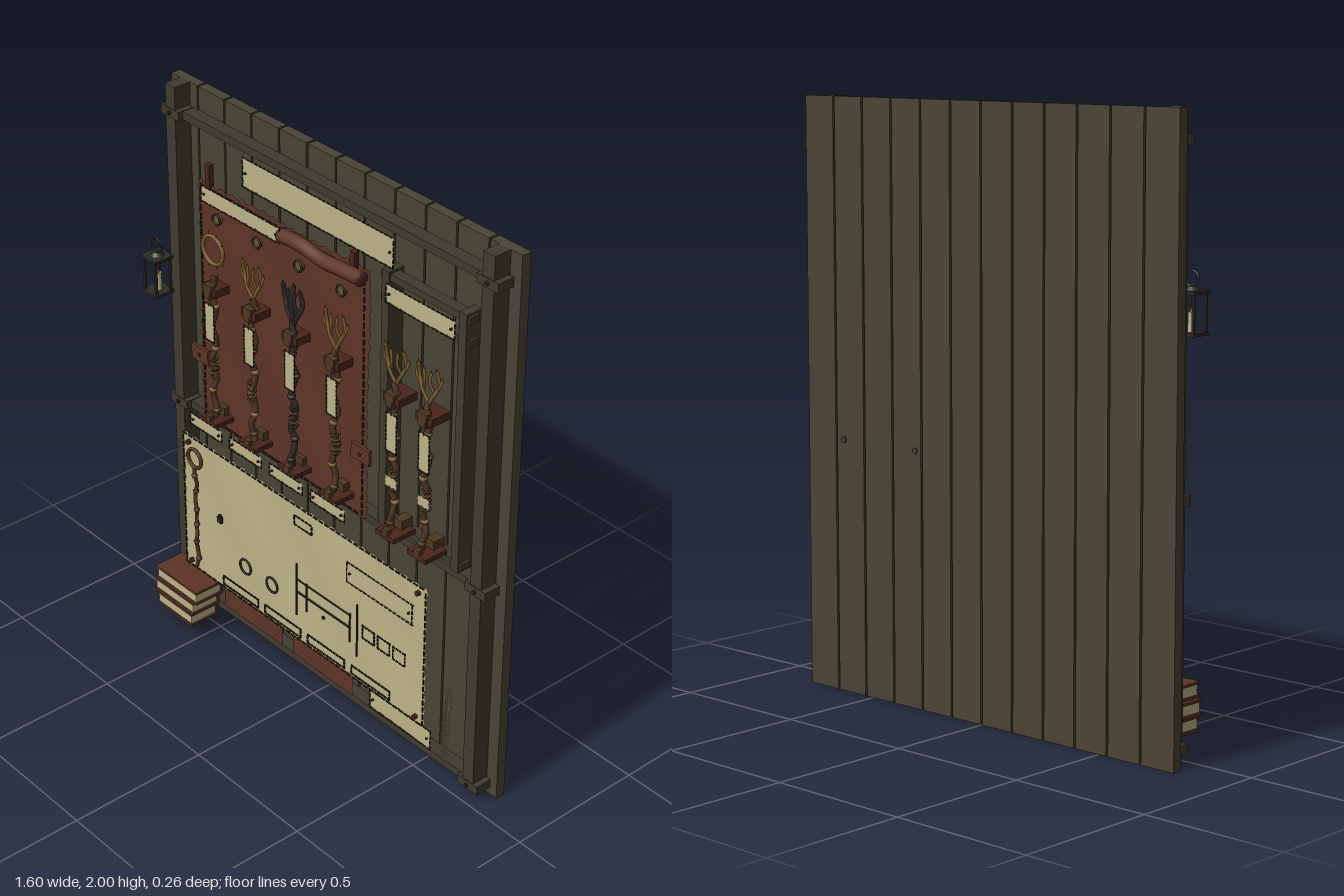
import * as THREE from 'three';
import { mergeGeometries } from 'three/addons/utils/BufferGeometryUtils.js';

const mat = (name, color, side = THREE.FrontSide) => {
  const m = new THREE.MeshStandardMaterial({ color, side });
  m.name = name;
  return m;
};

export function createModel() {
  const root = new THREE.Group();
  root.name = 'wandDisplayBoard';
  const wood = mat('agedWood', 0x4a4435);
  const beamWood = mat('beamWood', 0x403b2f);
  const leather = mat('leather', 0x5e3427, THREE.DoubleSide);
  const darkLeather = mat('darkLeather', 0x4a251c);
  const paper = mat('parchment', 0xbdb388, THREE.DoubleSide);
  const ink = mat('ink', 0x2b251c);
  const tan = mat('goldenTwig', 0x80602f);
  const bark = mat('bark', 0x4e3723);
  const ebony = mat('ebony', 0x2f2b27);
  const brass = mat('brass', 0x6b5333);

  const add = (name, geo, m, parent = root) => {
    const mesh = new THREE.Mesh(geo, m);
    mesh.name = name;
    parent.add(mesh);
    return mesh;
  };
  // Box given by its limits
  const boxGeo = (x0, x1, y0, y1, z0, z1) =>
    new THREE.BoxGeometry(x1 - x0, y1 - y0, z1 - z0).translate((x0 + x1) / 2, (y0 + y1) / 2, (z0 + z1) / 2);
  const box = (name, m, ...b) => add(name, boxGeo(...b), m);
  const zCyl = (r, d, x, y, z, n = 12) => new THREE.CylinderGeometry(r, r, d, n).rotateX(Math.PI / 2).translate(x, y, z);
  const tube = (pts, r, seg = 24, n = 7) =>
    new THREE.TubeGeometry(new THREE.CatmullRomCurve3(pts.map(p => new THREE.Vector3(...p))), seg, r, n);
  const torus = (R, r, x, y, z) => new THREE.TorusGeometry(R, r, 6, 24).translate(x, y, z);

  // Thin sheet with ragged edges and soft ripples
  const sheet = (name, m, x0, x1, y0, y1, z, wave = 0.002, rag = 0.003) => {
    const nx = Math.max(8, Math.round((x1 - x0) * 60)), ny = Math.max(6, Math.round((y1 - y0) * 60));
    const g = new THREE.PlaneGeometry(x1 - x0, y1 - y0, nx, ny).translate((x0 + x1) / 2, (y0 + y1) / 2, z);
    const p = g.attributes.position;
    for (let i = 0; i < p.count; i++) {
      const x = p.getX(i), y = p.getY(i), c = i % (nx + 1), r = Math.floor(i / (nx + 1));
      if (c === 0 || c === nx) p.setX(i, x + rag * Math.sin(r * 2.3 + x * 9));
      if (r === 0 || r === ny) p.setY(i, y + rag * Math.sin(c * 2.1 + y * 7));
      p.setZ(i, z + wave * Math.sin(x * 13 + y * 3) * Math.cos(y * 6));
    }
    g.computeVertexNormals();
    return add(name, g, m);
  };
  // Row of short stitches round a rectangle
  const stitches = (name, m, x0, x1, y0, y1, z, step = 0.022, t = 0.004) => {
    const gs = [], d = step * 0.34;
    for (let x = x0 + d; x < x1; x += step)
      for (const y of [y0, y1]) gs.push(boxGeo(x - d, x + d, y - t / 2, y + t / 2, z - 0.002, z + 0.002));
    for (let y = y0 + d; y < y1; y += step)
      for (const x of [x0, x1]) gs.push(boxGeo(x - t / 2, x + t / 2, y - d, y + d, z - 0.002, z + 0.002));
    add(name, mergeGeometries(gs), m);
  };
  const label = (name, x0, x1, y0, y1, z, edge = true) => {
    sheet(name, paper, x0, x1, y0, y1, z);
    if (edge) stitches(name + 'Edge', ink, x0, x1, y0, y1, z + 0.002, 0.02, 0.003);
    for (const x of [x0 + 0.015, x1 - 0.015])
      add(name + 'Pin', zCyl(0.004, 0.008, x, (y0 + y1) / 2, z + 0.003, 8), ink);
  };

  // Plank backing
  const pitch = 1.6 / 12;
  for (let i = 0; i < 12; i++) {
    const x = -0.8 + i * pitch;
    box('plank', wood, x + (i ? 0.004 : 0), x + pitch - (i < 11 ? 0.004 : 0), 0, 2, -0.125, -0.09);
  }
  // Posts, rails and their bolted joints
  for (const s of [-1, 1]) box('post', beamWood, s * 0.73 - 0.024, s * 0.73 + 0.024, 0.035, 2, -0.09, -0.027);
  for (const y of [1.905, 0.82, 0.05]) {
    box('rail', beamWood, -0.77, 0.77, y - 0.014, y + 0.014, -0.088, -0.042);
    for (const s of [-1, 1]) {
      box('railJoint', beamWood, s * 0.73 - 0.045, s * 0.73 + 0.045, y - 0.016, y + 0.016, -0.085, -0.024);
      add('railBolt', zCyl(0.007, 0.008, s * 0.73, y, -0.021), ink);
    }
  }

  // Leather hanging with its stitched border, rolled top and straps
  sheet('leatherHanging', leather, -0.585, 0.23, 0.825, 1.73, -0.024, 0.007, 0.006);
  stitches('hangingStitches', ink, -0.572, 0.217, 0.84, 1.715, -0.016, 0.03, 0.006);
  add('leatherRoll', tube([[-0.15, 1.708, 0], [-0.06, 1.712, 0], [0.05, 1.7, 0], [0.14, 1.706, 0], [0.22, 1.71, 0]], 0.024, 24, 12), leather);
  for (const x of [-0.15, 0.22]) add('rollEnd', new THREE.SphereGeometry(0.025, 12, 8).scale(0.4, 1, 1).translate(x, 1.709, 0), darkLeather);
  for (const [x, y] of [[-0.53, 1.8], [0.165, 1.775]]) box('hangingStrap', darkLeather, x - 0.011, x + 0.011, 1.69, y, -0.03, -0.012);
  for (const [x0, x1] of [[-0.62, -0.535], [0.18, 0.265]]) {
    box('sideTab', leather, x0, x1, 1.055, 1.11, -0.012, 0);
    add('tabStud', zCyl(0.006, 0.006, (x0 + x1) / 2, 1.082, 0.002, 8), darkLeather);
  }
  label('titleSheet', -0.36, 0.34, 1.787, 1.89, -0.02);
  label('hangingLabel', -0.53, -0.145, 1.683, 1.738, 0.012);

  // Small rack on the right
  for (const x of [0.295, 0.63]) {
    box('rackPost', beamWood, x - 0.016, x + 0.016, 0.84, 1.76, -0.09, -0.03);
    add('rackPeg', zCyl(0.011, 0.1, x, 0.862, -0.08, 8), beamWood);
  }
  for (const y of [0.862, 1.74, 1.66]) box('rackRail', beamWood, 0.27, 0.655, y - 0.012, y + 0.012, -0.075, -0.036);
  label('rackLabel', 0.315, 0.615, 1.668, 1.732, -0.015);

  // Wands with brackets, cradles and tags
  const twig = (parent, m, pts, r = 0.006) => {
    add('twig', tube(pts, r, 10, 6), m, parent);
    add('twigTip', new THREE.ConeGeometry(r, 0.02, 6).translate(...pts[pts.length - 1]), m, parent);
  };
  const wand = (x, kind, seed) => {
    const g = new THREE.Group();
    g.name = 'wand';
    g.position.set(x, 0, 0.015);
    root.add(g);
    const m = kind === 'claw' ? ebony : bark, tipMat = kind === 'claw' ? ebony : tan;
    const pts = [];
    for (let i = 0; i <= 14; i++)
      pts.push([0.007 * Math.sin(i * 1.9 + seed) - 0.008 * (1 - i / 14), 0.88 + i * 0.04, 0.005 * Math.cos(i * 2.1 + seed)]);
    add('shaft', tube(pts, 0.0105, 56, 8), m, g);
    // knots and wrapped bands
    for (let i = 1; i < 14; i += 2)
      add('knot', new THREE.SphereGeometry(0.015, 8, 6).scale(1, 0.8, 1).translate(...pts[i]), i % 4 === 1 ? m : tipMat, g);
    for (let i = 0; i < 5; i++)
      add('gripBand', new THREE.TorusGeometry(0.013, 0.004, 5, 12).rotateX(Math.PI / 2).translate(pts[5][0], 1.05 + i * 0.017, 0), i % 2 ? brass : m, g);
    if (kind === 'ring') {
      add('ringHead', torus(0.05, 0.007, 0, 1.525, 0), tipMat, g);
      for (let i = 0; i < 10; i++) {
        const a = i * Math.PI / 5;
        add('thorn', new THREE.ConeGeometry(0.004, 0.018, 5).rotateZ(a - Math.PI / 2)
          .translate(0.06 * Math.cos(a), 1.525 + 0.06 * Math.sin(a), 0), tipMat, g);
      }
    } else {
      const w = kind === 'claw' ? 0.008 : 0.006;
      for (const s of [-1, 1]) {
        twig(g, tipMat, [[0, 1.43, 0], [s * 0.025, 1.47, 0.005], [s * 0.042, 1.51, 0], [s * 0.04, 1.565, 0.01]], w);
        twig(g, tipMat, [[s * 0.024, 1.47, 0], [s * 0.012, 1.51, 0.01], [s * 0.016, 1.55, 0.01]], w * 0.85);
        if (kind === 'fork') twig(g, tipMat, [[s * 0.035, 1.49, 0], [s * 0.05, 1.51, 0.005], [s * 0.054, 1.535, 0]], 0.0045);
      }
      if (kind === 'claw') twig(g, tipMat, [[0, 1.44, 0], [0.005, 1.51, 0.015], [0.012, 1.575, 0.01]], w);
    }
    box('bracket', darkLeather, x - 0.036, x + 0.036, 1.368, 1.396, -0.04, 0.036);
    box('bracketClasp', bark, x - 0.019, x + 0.019, 1.358, 1.406, 0.02, 0.043);
    box('cradleBack', bark, x - 0.018, x + 0.018, 0.875, 0.925, -0.05, -0.004);
    box('cradleTray', darkLeather, x - 0.042, x + 0.042, 0.878, 0.895, -0.04, 0.052);
    box('cradleLip', bark, x - 0.012, x + 0.012, 0.89, 0.912, 0.035, 0.052);
    sheet('wandTag', paper, x + 0.003, x + 0.05, 1.215, 1.352, 0.056, 0.001, 0.002);
    stitches('tagEdge', ink, x + 0.003, x + 0.05, 1.215, 1.352, 0.057, 0.016, 0.003);
    add('tagCord', tube([[x + 0.025, 1.345, 0.057], [x + 0.018, 1.365, 0.05], [x + 0.012, 1.385, 0.04]], 0.002, 6, 5), brass);
  };
  ['ring', 'fork', 'claw', 'fork'].forEach((k, i) => {
    const x = -0.475 + i * 0.2;
    wand(x, k, i * 1.7);
    add('medallion', zCyl(0.018, 0.012, x, 1.628, -0.008, 16), brass);
    add('medallionRim', torus(0.018, 0.004, x, 1.628, -0.002), ink);
    label('nameLabel', x - 0.09 + i * 0.005, x + 0.075 + i * 0.005, 0.842, 0.886, 0.054);
  });
  [0.4, 0.545].forEach((x, i) => {
    wand(x, 'fork', 3 + i);
    sheet('smallTag', paper, x + 0.0, x + 0.052, 1.085, 1.122, 0.054, 0.001, 0.003);
  });

  // Large parchment chart
  sheet('chart', paper, -0.605, 0.605, 0.255, 0.795, 0.056, 0.005, 0.004);
  stitches('chartEdge', ink, -0.602, 0.602, 0.258, 0.792, 0.061, 0.028, 0.004);
  for (const x of [-0.57, 0.57]) for (const y of [0.28, 0.768]) add('chartPin', zCyl(0.009, 0.012, x, y, 0.065), darkLeather);
  const line = (x0, y0, x1, y1, t = 0.004) =>
    box('inkLine', ink, Math.min(x0, x1) - t / 2, Math.max(x0, x1) + t / 2, Math.min(y0, y1) - t / 2, Math.max(y0, y1) + t / 2, 0.062, 0.067);
  line(-0.01, 0.455, 0.255, 0.455, 0.005);
  line(-0.01, 0.505, 0.255, 0.505, 0.003);
  line(-0.01, 0.36, -0.01, 0.565);
  line(0.04, 0.4, 0.04, 0.51);
  line(0.255, 0.4, 0.255, 0.51);
  line(0.29, 0.36, 0.29, 0.565);
  add('inkDot', zCyl(0.006, 0.006, 0.125, 0.422, 0.065, 8), ink);
  for (const x of [0.345, 0.418, 0.491]) stitches('inkSquare', ink, x - 0.028, x + 0.028, 0.45, 0.498, 0.065, 0.014);
  stitches('inkBox', ink, -0.02, 0.066, 0.72, 0.755, 0.065, 0.018);
  label('chartNote', 0.242, 0.55, 0.635, 0.712, 0.066);
  for (let i = 0; i < 4; i++) stitches('inkCaption', ink, -0.395 + i * 0.22, -0.21 + i * 0.22, 0.275, 0.308, 0.065, 0.016, 0.005);
  for (const x of [-0.275, -0.137]) add('inkRing', torus(0.028, 0.004, x, 0.41, 0.065), ink);
  box('lockBody', ink, -0.416, -0.394, 0.525, 0.547, 0.062, 0.072);
  add('lockShackle', torus(0.008, 0.003, -0.405, 0.548, 0.066), ink);
  // Ring-headed staff on the chart
  const staff = [];
  for (let i = 0; i <= 12; i++) staff.push([-0.525 + 0.006 * Math.sin(i * 2), 0.285 + i * 0.034, 0.073 + 0.004 * Math.cos(i * 1.7)]);
  add('chartStaff', tube(staff, 0.007, 40), bark);
  for (let i = 1; i < 12; i += 2) add('staffKnot', new THREE.SphereGeometry(0.011, 8, 6).translate(...staff[i]), bark);
  add('chartStaffRing', torus(0.035, 0.007, -0.525, 0.727, 0.075), bark);

  // Plaques along the foot
  sheet('leatherPlaque', leather, -0.47, -0.163, 0.112, 0.195, 0, 0.002, 0.002);
  sheet('leatherPlaque', leather, -0.105, 0.2, 0.112, 0.195, 0, 0.002, 0.002);
  label('footLabel', 0.287, 0.58, 0.117, 0.19, 0);

  // Stack of books
  [[-0.695, -0.47], [-0.705, -0.49], [-0.695, -0.5]].reverse().forEach(([x0, x1], i) => {
    const y = 0.06 + i * 0.054;
    box('bookCover', leather, x0, x1, y, y + 0.009, 0.012, 0.128);
    box('bookPages', paper, x0 + 0.007, x1 - 0.006, y + 0.009, y + 0.043, 0.018, 0.124);
    box('bookCover', leather, x0, x1, y + 0.043, y + 0.052, 0.012, 0.128);
    box('bookSpine', leather, x0, x1, y, y + 0.052, 0.01, 0.018);
  });

  // Quill feather
  const barbs = [tube([[0.685, 0.12, 0.045], [0.7, 0.25, 0.05], [0.71, 0.47, 0.045]], 0.002, 20, 5)];
  for (let i = 0; i < 30; i++) {
    const t = i / 29, y = 0.17 + t * 0.28, x = 0.69 + t * 0.02, w = 0.008 + 0.022 * Math.sin(Math.PI * (0.15 + 0.75 * t));
    for (const s of [-1, 1])
      barbs.push(new THREE.BoxGeometry(w, 0.0022, 0.0015).translate(w / 2, 0, 0).rotateZ(s > 0 ? 0.9 : Math.PI - 0.9).translate(x, y, 0.048));
  }
  barbs.forEach(b => b.deleteAttribute('uv'));
  add('quill', mergeGeometries(barbs), paper);

  // Lantern
  for (const y of [1.31, 1.437]) box('lanternPlate', ebony, -0.727, -0.65, y - 0.005, y + 0.005, 0.04, 0.117);
  for (const x of [-0.718, -0.659]) for (const z of [0.049, 0.108]) box('lanternPost', ebony, x - 0.004, x + 0.004, 1.312, 1.437, z - 0.004, z + 0.004);
  add('lanternCap', new THREE.CylinderGeometry(0.012, 0.025, 0.014, 12).translate(-0.688, 1.448, 0.078), ebony);
  add('lanternRing', torus(0.025, 0.0035, -0.688, 1.478, 0.078), ebony);
  add('candle', new THREE.CylinderGeometry(0.012, 0.013, 0.062, 12).translate(-0.688, 1.346, 0.078), paper);
  add('candleFlame', new THREE.ConeGeometry(0.006, 0.02, 8).translate(-0.688, 1.387, 0.078), tan);
  return root;
}
